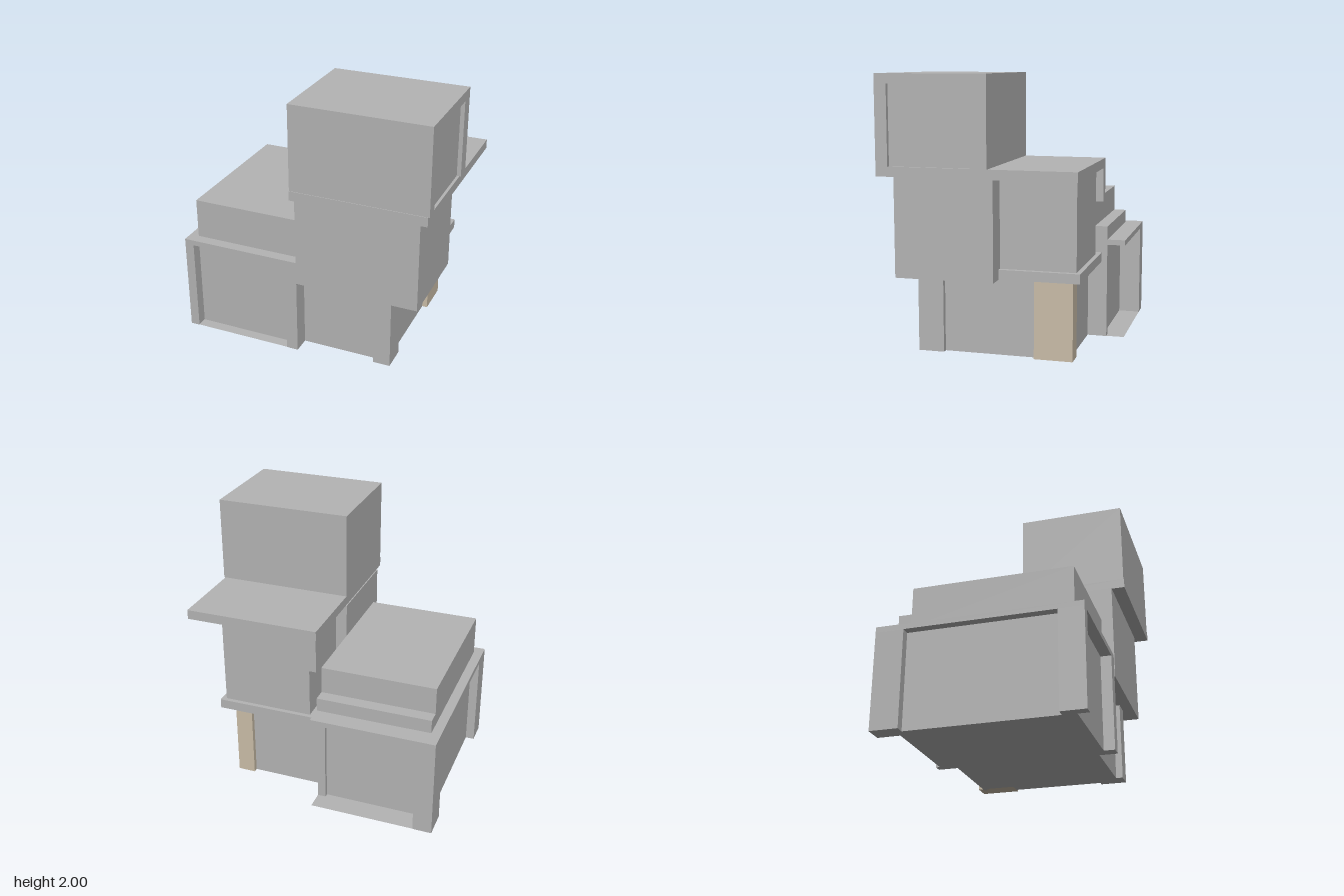
import * as THREE from 'three';

const wallGrey = new THREE.MeshStandardMaterial({ color: 0xb4b4b4 });
wallGrey.name = 'wallGrey';
const woodTan = new THREE.MeshStandardMaterial({ color: 0xcabda8 });
woodTan.name = 'woodTan';

// Box between two limits on each axis
function block(parent, name, [x0, x1], [y0, y1], [z0, z1], material = wallGrey) {
  const mesh = new THREE.Mesh(new THREE.BoxGeometry(x1 - x0, y1 - y0, z1 - z0), material);
  mesh.position.set((x0 + x1) / 2, (y0 + y1) / 2, (z0 + z1) / 2);
  mesh.name = name;
  parent.add(mesh);
}

// Upward-facing floor sheet
function floorSheet(parent, name, [x0, x1], [z0, z1]) {
  const mesh = new THREE.Mesh(new THREE.PlaneGeometry(x1 - x0, z1 - z0), wallGrey);
  mesh.rotation.x = -Math.PI / 2;
  mesh.position.set((x0 + x1) / 2, 0.002, (z0 + z1) / 2);
  mesh.name = name;
  parent.add(mesh);
}

function section(parent, name) {
  const group = new THREE.Group();
  group.name = name;
  parent.add(group);
  return group;
}

export function createModel() {
  const house = new THREE.Group();
  house.name = 'house';

  // Wide wing: recessed walls framed by corner posts under a flat roof
  const wing = section(house, 'wing');
  block(wing, 'wingWalls', [-0.905, -0.05], [0, 0.71], [-0.62, 0.6]);
  block(wing, 'wingRoof', [-0.97, -0.05], [0.71, 0.75], [-0.785, 0.68]);
  const posts = [
    ['frontOuterPost', [-0.97, -0.9], [0.5, 0.68]],
    ['frontInnerPost', [-0.14, -0.05], [0.55, 0.68]],
    ['backOuterPost', [-0.97, -0.83], [-0.785, -0.58]],
    ['backInnerPost', [-0.11, -0.05], [-0.65, -0.51]],
  ];
  for (const [name, x, z] of posts) block(wing, name, x, [0, 0.71], z);
  floorSheet(wing, 'frontPorchFloor', [-0.9, -0.14], [0.6, 0.68]);
  floorSheet(wing, 'backPorchFloor', [-0.83, -0.05], [-0.785, -0.62]);
  block(wing, 'raisedRoof', [-0.9, -0.05], [0.75, 1.05], [-0.555, 0.598]);
  block(wing, 'roofStep', [-0.9, -0.05], [0.75, 0.85], [-0.65, -0.555]);

  // Tower ground floor with its corner pillars
  const ground = section(house, 'towerGroundFloor');
  block(ground, 'groundWalls', [-0.05, 0.615], [0, 0.58], [-0.505, 0.55]);
  block(ground, 'frontPillar', [0.525, 0.655], [0, 0.58], [0.41, 0.6]);
  block(ground, 'backPillar', [0.525, 0.655], [0, 0.58], [-0.54, -0.26], woodTan);

  // Tower middle floor: projecting front room, set-back rear room on a ledge
  const middle = section(house, 'towerMiddleFloor');
  block(middle, 'frontRoom', [-0.05, 0.875], [0.58, 1.3], [-0.03, 0.685]);
  block(middle, 'rearRoom', [0.035, 0.71], [0.65, 1.3], [-0.575, -0.03]);
  block(middle, 'rearLedge', [-0.05, 0.745], [0.58, 0.65], [-0.607, -0.03]);
  block(middle, 'hangingPost', [-0.04, 0.035], [1.05, 1.3], [-0.63, -0.51]);
  block(middle, 'terraceSlab', [-0.042, 0.955], [1.3, 1.37], [-0.63, 0.782]);

  // Top room with a shallow framed recess on its left side
  const top = section(house, 'topRoom');
  block(top, 'topRoomBody', [-0.042, 0.935], [1.37, 2], [-0.015, 0.777]);
  block(top, 'recessHead', [0.935, 0.965], [1.93, 2], [-0.015, 0.777]);
  for (const z of [[-0.015, 0.09], [0.69, 0.777]]) {
    block(top, 'recessJamb', [0.935, 0.965], [1.37, 1.93], z);
  }

  return house;
}
